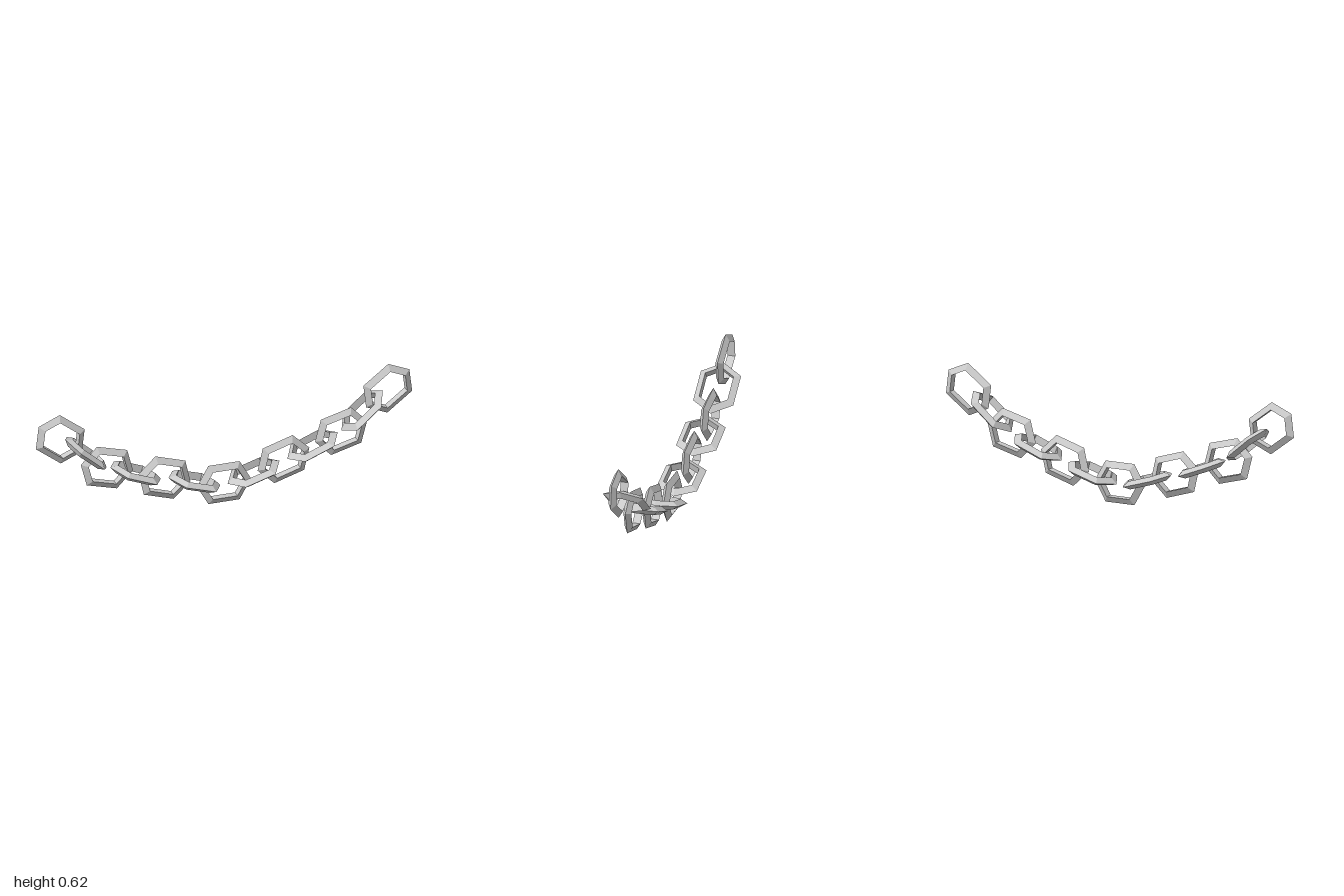
import * as THREE from 'three';

// Hexagonal link: a three-sided ring, pulled apart along x into a long shape
function linkGeometry() {
  const g = new THREE.TorusGeometry(0.0978, 0.024, 3, 6);
  const p = g.attributes.position;
  for (let i = 0; i < p.count; i++) p.setX(i, p.getX(i) + Math.sign(p.getX(i)) * 0.022);
  return g;
}

export function createModel() {
  const chain = new THREE.Group();
  chain.name = 'chain';
  const geometry = linkGeometry();
  const material = new THREE.MeshStandardMaterial({ color: 0xcccccc, flatShading: true });

  // Centre x, centre y and tilt in degrees, from the lowest link outwards
  const links = [
    [0, 0.1055, 0],
    [0.157, 0.137, 16.8],
    [0.316, 0.184, 17],
    [0.47, 0.234, 21.3],
    [0.622, 0.289, 15],
    [0.734, 0.386, 40.3],
    [0.87, 0.486, 37],
  ];

  links.forEach(([x, y, tilt], i) => {
    for (const side of i === 0 ? [1] : [1, -1]) {
      const link = new THREE.Mesh(geometry, material);
      link.name = i === 0 ? 'middleLink' : (side > 0 ? 'leftLink' : 'rightLink') + i;
      link.position.set(side * x, y, 0);
      // Every second link lies flat; the tilt is applied after that turn
      link.rotation.order = 'ZYX';
      link.rotation.set(i % 2 ? Math.PI / 2 : 0, 0, side * THREE.MathUtils.degToRad(tilt));
      chain.add(link);
    }
  });
  return chain;
}
